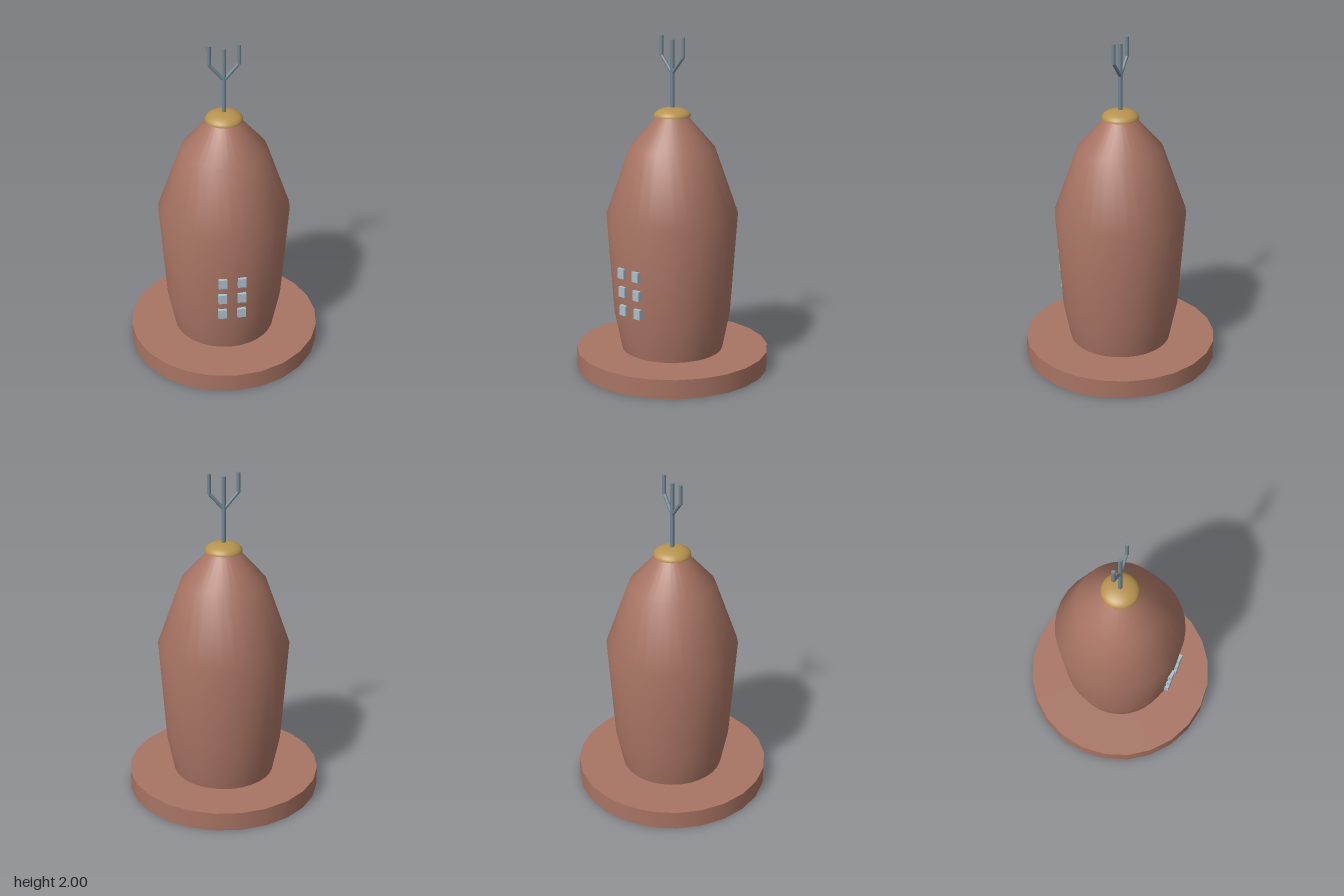
import * as THREE from 'three';

const paint = (name, color) => {
  const m = new THREE.MeshStandardMaterial({ color });
  m.name = name;
  return m;
};

export function createModel() {
  const model = new THREE.Group();
  model.name = 'tower';
  const clay = paint('clay brown', 0xa87463);
  const gold = paint('old gold', 0xb8934f);
  const steel = paint('steel grey', 0x728892);
  const glass = paint('pale glass', 0xaabecb);

  const add = (parent, name, geometry, material, x = 0, y = 0, z = 0) => {
    const mesh = new THREE.Mesh(geometry, material);
    mesh.name = name;
    mesh.position.set(x, y, z);
    parent.add(mesh);
    return mesh;
  };
  const points = list => list.map(([x, y]) => new THREE.Vector2(x, y));

  // Round plinth
  add(model, 'base', new THREE.CylinderGeometry(0.58, 0.58, 0.115, 24), clay, 0, 0.0575);

  // Bulging body of revolution, closed at the top
  const profile = [[0.305, 0.115], [0.35, 0.34], [0.392, 0.95], [0.252, 1.35], [0.085, 1.54]];
  add(model, 'body', new THREE.LatheGeometry(points(profile), 32), clay);

  // Flattened dome cap with a closed underside
  const dome = new THREE.SphereGeometry(0.11, 32, 10, 0, Math.PI * 2, 0, Math.PI / 2);
  dome.scale(1, 0.47, 1);
  add(model, 'cap', dome, gold, 0, 1.534);
  const underside = new THREE.CircleGeometry(0.11, 32);
  underside.rotateX(Math.PI / 2);
  add(model, 'capUnderside', underside, gold, 0, 1.534);

  // Three-pronged mast
  const mast = new THREE.Group();
  mast.name = 'mast';
  model.add(mast);
  const rod = (name, from, to, radius) => {
    const a = new THREE.Vector3(...from);
    const b = new THREE.Vector3(...to);
    const dir = b.clone().sub(a);
    const mesh = add(mast, name, new THREE.CylinderGeometry(radius, radius, dir.length(), 10), steel);
    mesh.position.copy(a).add(b).multiplyScalar(0.5);
    mesh.quaternion.setFromUnitVectors(new THREE.Vector3(0, 1, 0), dir.normalize());
  };
  rod('stem', [0, 1.56, 0], [0, 1.98, 0], 0.0125);
  for (const [side, s] of [['left', 1], ['right', -1]]) {
    rod(side + 'Branch', [0, 1.785, 0], [s * 0.085, 1.885, 0], 0.01);
    rod(side + 'Prong', [s * 0.085, 1.88, 0], [s * 0.085, 2, 0], 0.0115);
  }

  // Two columns of small windows on the front
  const windows = new THREE.Group();
  windows.name = 'windows';
  model.add(windows);
  const pane = new THREE.BoxGeometry(0.05, 0.06, 0.03);
  [[0.415, 0.356], [0.53, 0.364], [0.645, 0.371]].forEach(([y, z], row) => {
    for (const s of [-1, 1]) {
      add(windows, `${s > 0 ? 'left' : 'right'}Window${row + 1}`, pane, glass, s * 0.057, y, z);
    }
  });

  return model;
}
